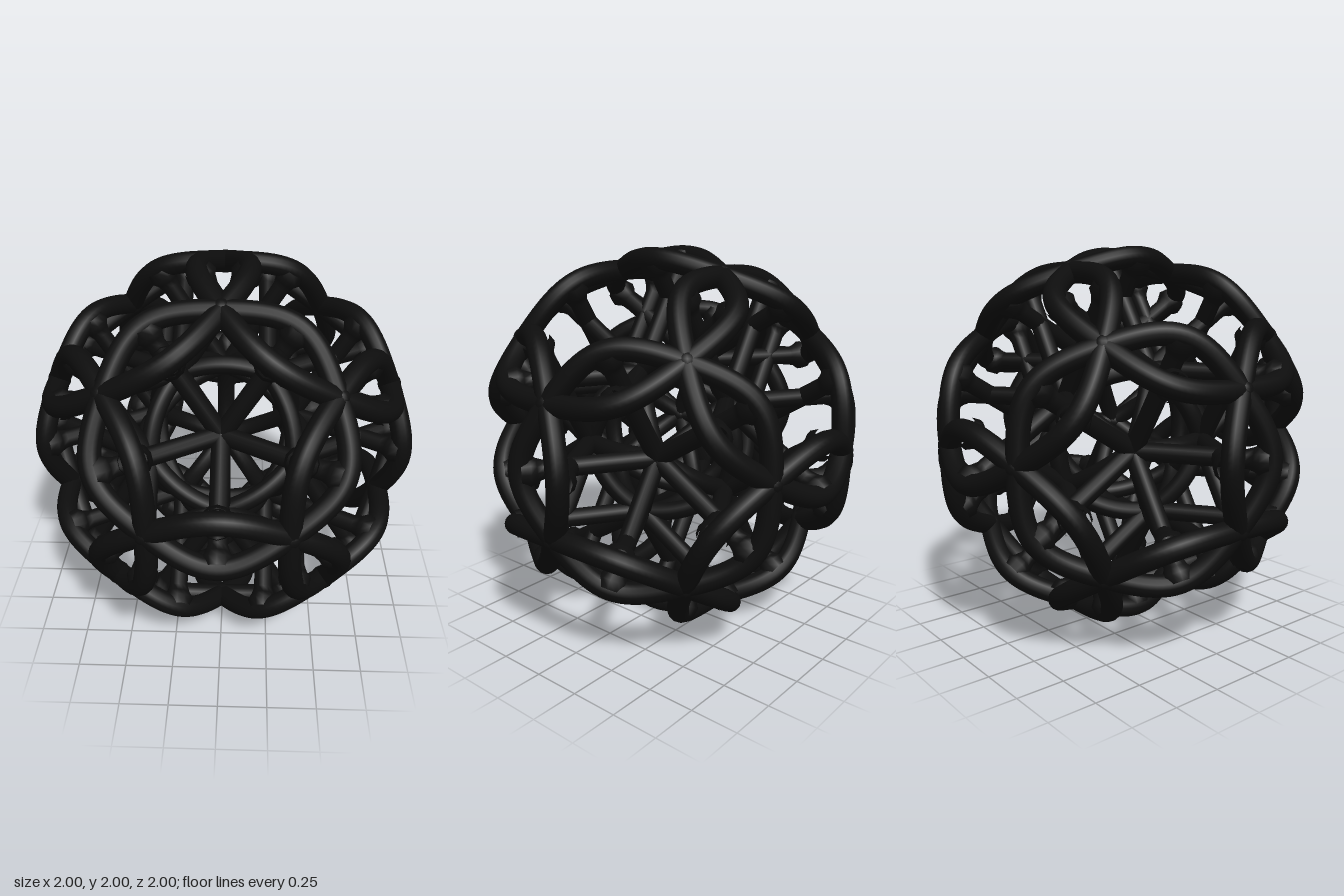
import * as THREE from 'three';

const PHI = (1 + Math.sqrt(5)) / 2;
const NODE_R = 0.925, TUBE_R = 0.055, STRUT_R = 0.048;
const CORE_R = 0.44, CORE_MID = 0.425;
const V = (x, y, z) => new THREE.Vector3(x, y, z);

// unit directions from every sign choice of (0, a, b), cycled through the axes
function cyclic(a, b) {
  const out = [];
  for (const s of [1, -1]) for (const t of [1, -1]) {
    const p = a * s, q = b * t;
    out.push(V(0, p, q), V(q, 0, p), V(p, q, 0));
  }
  return out.map((v) => v.normalize());
}

// all pairs of neighbouring directions
function pairs(list) {
  const all = [];
  list.forEach((a, i) => list.slice(i + 1).forEach((b) => all.push([a, b, a.distanceTo(b)])));
  const min = Math.min(...all.map((e) => e[2]));
  return all.filter((e) => e[2] < min * 1.01);
}

export function createModel() {
  const model = new THREE.Group();
  model.name = 'latticeSphere';
  const mat = new THREE.MeshStandardMaterial({ color: 0x0d0d0d });
  const body = new THREE.Group();
  body.position.y = 1;
  model.add(body);

  const add = (geo, name) => {
    const mesh = new THREE.Mesh(geo, mat);
    mesh.name = name;
    body.add(mesh);
    return mesh;
  };

  // twenty outer nodes of a dodecahedron, twelve core nodes of an icosahedron
  const nodes = cyclic(PHI, 1 / PHI);
  for (const s of [1, -1]) for (const t of [1, -1]) for (const u of [1, -1])
    nodes.push(V(s, t, u).normalize());
  const axes = cyclic(1, PHI);

  // strut with a flared root, from the petal tube down to the core
  const addStrut = (from, to) => {
    const len = from.distanceTo(to);
    const profile = [[0.07, 0], [0.08, 0.045], [0.06, 0.075], [STRUT_R, 0.11], [STRUT_R, len]]
      .map(([r, d]) => new THREE.Vector2(r, len - d)).reverse();
    const mesh = add(new THREE.LatheGeometry(profile, 12), 'strut');
    mesh.position.copy(to);
    mesh.quaternion.setFromUnitVectors(V(0, 1, 0), from.clone().sub(to).normalize());
  };

  // each outer edge is a petal of two bowed tubes leaving the nodes at 30 degrees
  for (const [a, b] of pairs(nodes)) {
    const mid = a.clone().add(b).normalize();
    const side = b.clone().sub(a).normalize().cross(mid).normalize();
    for (const s of [1, -1]) {
      const p = side.clone().multiplyScalar(s);
      const handle = (from, to) => {
        const e = to.clone().addScaledVector(from, -to.dot(from)).normalize();
        return from.clone().multiplyScalar(NODE_R)
          .addScaledVector(e, 0.345 * Math.cos(Math.PI / 6))
          .addScaledVector(p, 0.345 * Math.sin(Math.PI / 6));
      };
      const curve = new THREE.CubicBezierCurve3(
        a.clone().multiplyScalar(NODE_R), handle(a, b),
        handle(b, a), b.clone().multiplyScalar(NODE_R));
      add(new THREE.TubeGeometry(curve, 24, TUBE_R, 14), 'petalTube');

      // the strut crosses over to the core node of the face on the other side
      const target = axes.filter((x) => x.dot(p) < -0.1)
        .sort((x, y) => y.dot(mid) - x.dot(mid))[0];
      addStrut(curve.getPoint(0.5), target.clone().multiplyScalar(CORE_R));
    }
  }

  // core: arched ribs between the twelve inner nodes
  for (const [a, b] of pairs(axes)) {
    const A = a.clone().multiplyScalar(CORE_R), B = b.clone().multiplyScalar(CORE_R);
    const peak = a.clone().add(b).normalize().multiplyScalar(CORE_MID);
    const control = peak.multiplyScalar(2).addScaledVector(A, -0.5).addScaledVector(B, -0.5);
    add(new THREE.TubeGeometry(new THREE.QuadraticBezierCurve3(A, control, B), 12, STRUT_R, 12), 'coreRib');
  }

  // rounded joints
  const joint = (dir, dist, r, name) =>
    add(new THREE.SphereGeometry(r, 16, 12), name).position.copy(dir).multiplyScalar(dist);
  nodes.forEach((n) => joint(n, NODE_R, 0.06, 'outerNode'));
  axes.forEach((n) => joint(n, CORE_R, 0.055, 'coreNode'));

  return model;
}
